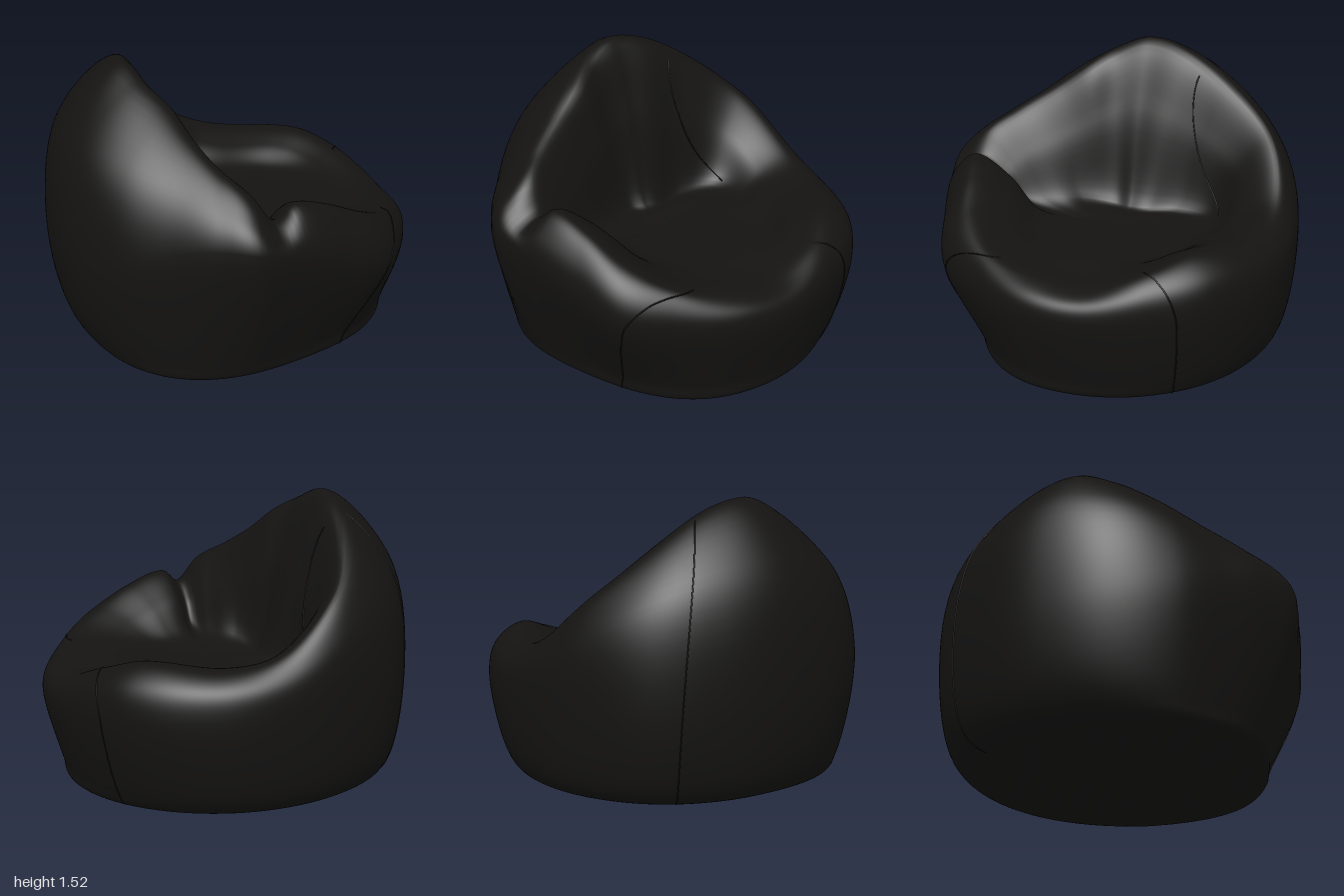
import * as THREE from 'three';

// Shape of the bag at a few compass angles (0 = +x, 90 = +z):
// angle, widest radius, rim radius, rim height, seat edge radius
const STATIONS = [
  [0, 0.98, 0.86, 0.63, 0.52],
  [20, 0.965, 0.88, 0.69, 0.5],
  [38, 0.985, 0.84, 0.8, 0.46],
  [54, 0.94, 0.79, 0.91, 0.42],
  [70, 0.945, 0.78, 0.97, 0.44],
  [78, 0.97, 0.79, 0.9, 0.54],
  [86, 1.0, 0.77, 1.04, 0.45],
  [97, 0.96, 0.68, 1.13, 0.36],
  [112, 0.935, 0.57, 1.24, 0.31],
  [130, 0.97, 0.5, 1.36, 0.27],
  [150, 0.99, 0.52, 1.45, 0.24],
  [170, 0.98, 0.55, 1.515, 0.21],
  [195, 0.985, 0.58, 1.46, 0.24],
  [216, 1.01, 0.68, 1.31, 0.38],
  [236, 0.99, 0.83, 1.08, 0.52],
  [257, 0.985, 0.87, 0.82, 0.52],
  [275, 1.0, 0.85, 0.75, 0.48],
  [304, 1.02, 0.85, 0.77, 0.55],
  [322, 0.99, 0.88, 0.7, 0.56],
  [342, 0.98, 0.86, 0.61, 0.54],
];

// Smooth periodic interpolation between stations
function station(deg) {
  const n = STATIONS.length;
  const row = (i) => STATIONS[((i % n) + n) % n];
  const angle = (i) => row(i)[0] + 360 * Math.floor(i / n);
  const d = ((deg % 360) + 360) % 360;
  let i = 0;
  while (angle(i + 1) <= d) i++;
  const h = angle(i + 1) - angle(i), u = (d - angle(i)) / h;
  return row(i).map((_, c) => {
    const slope = (j) => (row(j + 1)[c] - row(j - 1)[c]) / (angle(j + 1) - angle(j - 1));
    return (1 + 2 * u) * (1 - u) ** 2 * row(i)[c] + u * (1 - u) ** 2 * h * slope(i)
      + u * u * (3 - 2 * u) * row(i + 1)[c] + u * u * (u - 1) * h * slope(i + 1);
  });
}

// Section from the underside centre, out and up the wall, over the rim, down to the seat centre
function section(deg) {
  const [, R, rr, yr, rf] = station(deg);
  const a = THREE.MathUtils.degToRad(deg), cos = Math.cos(a), sin = Math.sin(a);
  const side = Math.max(0, sin) ** 4; // the pointed +z side bulges higher
  const rb = 0.8 + 0.05 * cos - 0.025 * sin - 0.22 * cos * sin * Math.max(0, sin); // base radius
  const flare = 0.38 - 0.17 * cos - 0.16 * sin; // roundness of the bottom edge
  const yw = 0.54 - 0.06 * cos + 0.29 * side; // height of the widest radius
  const yf = 0.63 + 0.05 * side; // height of the seat edge
  const points = [
    [0, 0.03],
    [rb * 0.6, 0.03],
    [rb, 0.012],
    [rb + (R - rb) * flare, 0.1],
    [R, yw],
    [rr + (R - rr) * (0.79 - 0.19 * side), yw + (yr - yw) * 0.65],
    [rr, yr],
    [rf + (rr - rf) * 0.45, yf + (yr - yf) * 0.6],
    [rf, yf],
    [rf * 0.5, 0.61],
    [0, 0.6],
  ].map(([r, y]) => new THREE.Vector3(r, y, 0));
  return new THREE.CatmullRomCurve3(points);
}

// Point on the skin, with gathered folds on the underside
function skinPoint(curve, deg, t) {
  const p = curve.getPoint(t), a = THREE.MathUtils.degToRad(deg);
  const x = p.x * Math.cos(a), z = p.x * Math.sin(a);
  let y = p.y;
  if (t < 0.2) {
    const fade = Math.sin((t / 0.2) * Math.PI);
    y += 0.016 * fade * (1 + Math.sin(x * 14 + z * 16 + 2 * Math.sin(x * 4)));
  }
  return new THREE.Vector3(x, Math.max(0, y), z);
}

// Skin made of sections all the way round, closed at both centres
function skinGeometry(around, along) {
  const positions = [], index = [];
  for (let i = 0; i < around; i++) {
    const deg = (i / around) * 360, curve = section(deg);
    for (let j = 0; j <= along; j++) positions.push(...skinPoint(curve, deg, j / along));
  }
  for (let i = 0; i < around; i++) {
    for (let j = 0; j < along; j++) {
      const a = i * (along + 1) + j, c = ((i + 1) % around) * (along + 1) + j;
      if (j < along - 1) index.push(a, a + 1, c + 1);
      if (j > 0) index.push(a, c + 1, c);
    }
  }
  const g = new THREE.BufferGeometry();
  g.setAttribute('position', new THREE.Float32BufferAttribute(positions, 3));
  g.setIndex(index);
  g.computeVertexNormals();
  return g;
}

export function createModel() {
  const group = new THREE.Group();
  group.name = 'beanBagChair';
  const fabric = new THREE.MeshStandardMaterial({ color: 0x141312 });

  // Stuffed body with backrest, arms and seat
  const body = new THREE.Mesh(skinGeometry(216, 90), fabric);
  body.name = 'bagBody';
  group.add(body);

  // Seams on the skin: [start angle, end angle, start of run, end of run]
  const seams = [
    [42, 15, 0.21, 0.62], // front panel, +z edge
    [312, 322, 0.21, 0.62], // front panel, -z edge
    [208, 200, 0.21, 0.58], // back of the bag
    [205, 240, 0.63, 0.79], // inside of the backrest
  ];
  seams.forEach(([from, to, start, end], k) => {
    const path = [];
    for (let i = 0; i <= 24; i++) {
      const u = i / 24, deg = THREE.MathUtils.lerp(from, to, u * u);
      path.push(skinPoint(section(deg), deg, THREE.MathUtils.lerp(start, end, u)));
    }
    const seam = new THREE.Mesh(new THREE.TubeGeometry(new THREE.CatmullRomCurve3(path), 72, 0.004, 6), fabric);
    seam.name = `seam${k + 1}`;
    group.add(seam);
  });

  return group;
}
